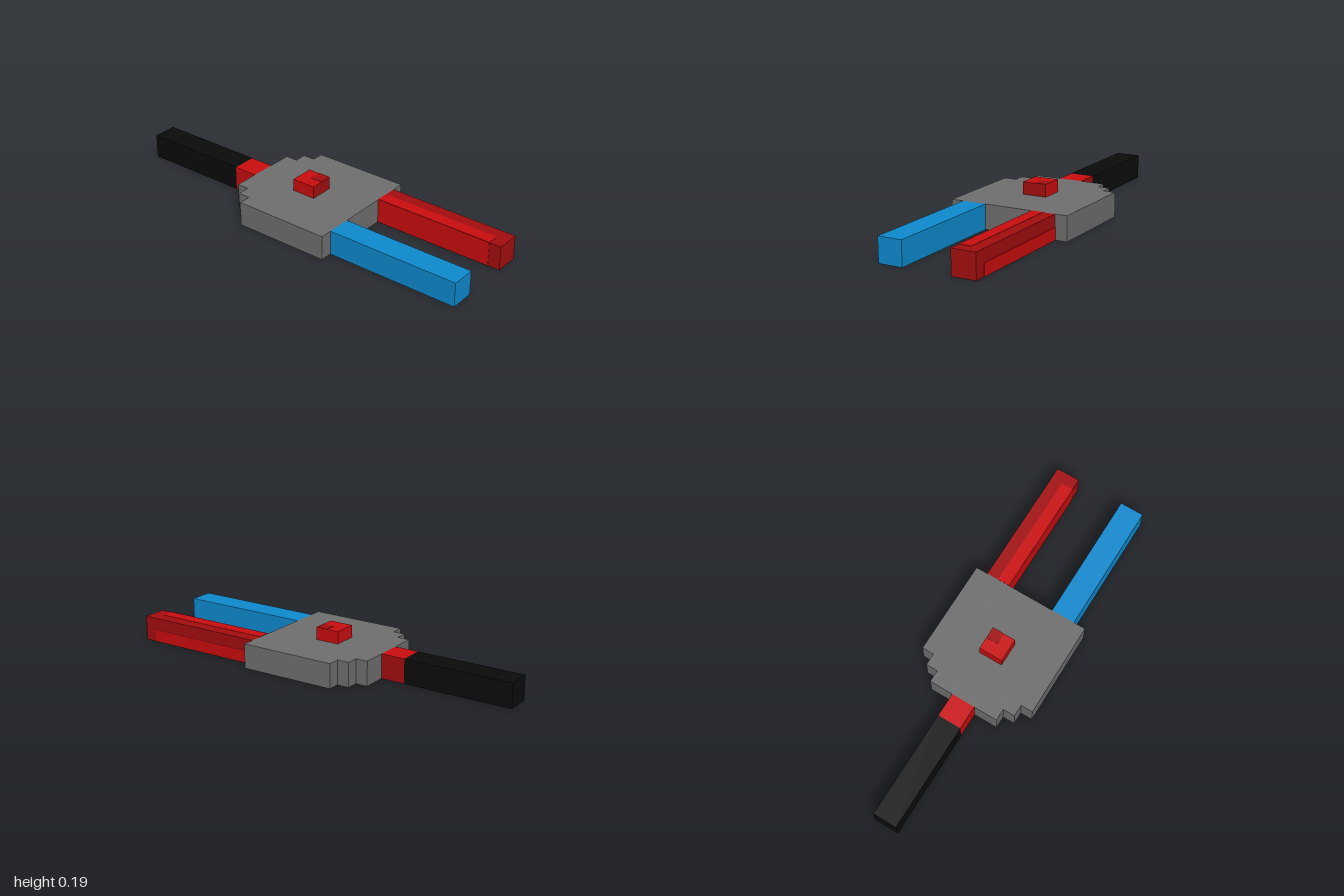
import * as THREE from 'three';

const U = 1 / 16; // one grid cell
const T = 0.003;  // painted plate thickness

const mat = (name, color) => {
  const m = new THREE.MeshStandardMaterial({ color });
  m.name = name;
  return m;
};

export function createModel() {
  const grey = mat('grey', 0x6f6f6f);
  const blue = mat('blue', 0x0e8acf);
  const red = mat('bright red', 0xcc0d0f);
  const darkRed = mat('dark red', 0xa40d0f);
  const black = mat('black', 0x0b0b0b);

  const model = new THREE.Group();
  model.name = 'forkedDevice';

  // Box from min and max corners
  const box = (name, material, [x0, y0, z0], [x1, y1, z1]) => {
    const mesh = new THREE.Mesh(new THREE.BoxGeometry(x1 - x0, y1 - y0, z1 - z0), material);
    mesh.position.set((x0 + x1) / 2, (y0 + y1) / 2, (z0 + z1) / 2);
    mesh.name = name;
    model.add(mesh);
    return mesh;
  };

  // Flat body with stepped corners towards the handle
  const half = [[5, 5], [-3, 5], [-3, 4], [-4, 4], [-4, 3], [-5, 3]];
  const outline = [...half, ...half.map(([x, z]) => [x, -z]).reverse()];
  const shape = new THREE.Shape(outline.map(([x, z]) => new THREE.Vector2(x * U, z * U)));
  const bodyGeo = new THREE.ExtrudeGeometry(shape, { depth: 2 * U, bevelEnabled: false });
  bodyGeo.rotateX(-Math.PI / 2);
  const body = new THREE.Mesh(bodyGeo, grey);
  body.name = 'body';
  model.add(body);

  // Handle with red collar, darker at the back
  box('handle', black, [-1, 0, -U], [-7 * U, 2 * U, U]);
  const collar = box('collar', red, [-7 * U, 0, -U], [-5 * U, 2 * U, U]);
  collar.material = [red, red, red, red, red, darkRed];

  // Button with a dark side and a dark corner on top
  const button = box('button', red, [-U, 2 * U, -U], [U, 3 * U, U]);
  button.material = [darkRed, red, red, red, red, red];
  box('buttonCorner', darkRed, [0, 3 * U - T, -U], [U, 3 * U + T / 2, 0]);

  // Prongs
  box('frontProng', blue, [5 * U, 0, 2 * U], [1, 2 * U, 4 * U]);
  box('backProng', darkRed, [5 * U, 0, -4 * U], [1, 2 * U, -2 * U]);

  // Bright stripes on the back prong: top, inner side, outer side
  box('topStripe', red, [5 * U, 2 * U - T, -3 * U], [15 * U, 2 * U + T / 2, -2 * U]);
  box('innerStripe', red, [5 * U, 0, -2 * U - T], [15 * U, 2 * U, -2 * U + T / 2]);
  box('outerStripe', red, [5 * U, 0, -4 * U - T / 2], [15 * U, U, -4 * U + T]);

  return model;
}
